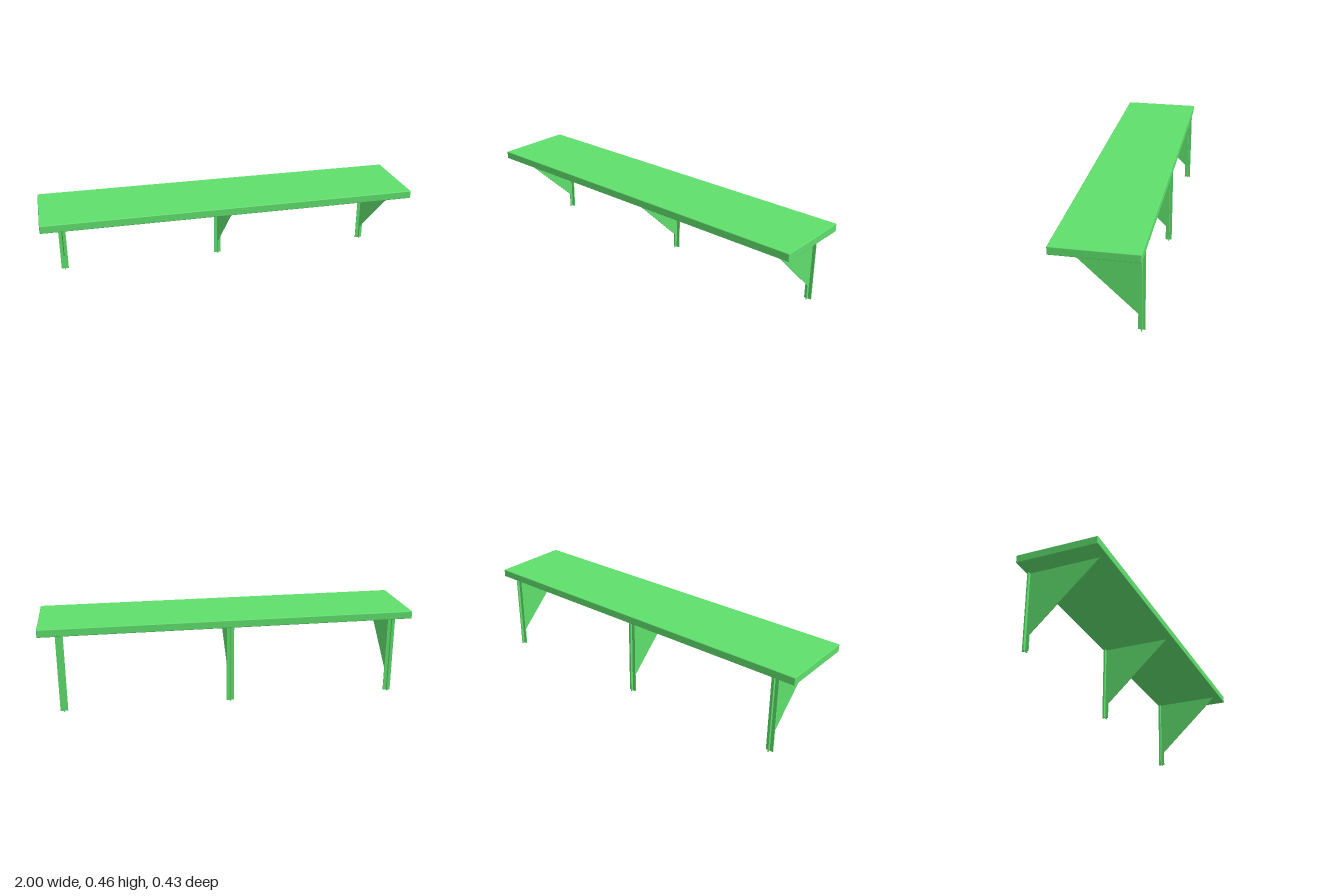
import * as THREE from 'three';
import { RoundedBoxGeometry } from 'three/addons/geometries/RoundedBoxGeometry.js';

const TOP = 0.461, UNDER = 0.419, DEPTH = 0.426, SHEET = 0.004;
const BACK = -0.213, POST_FRONT = -0.179, FLANGE_Z = -0.197;

export function createModel() {
  const group = new THREE.Group();
  group.name = 'bench';
  const green = new THREE.MeshStandardMaterial({ color: 0x5fdf6c });

  const add = (parent, name, geometry, x, y, z) => {
    const mesh = new THREE.Mesh(geometry, green);
    mesh.name = name;
    mesh.position.set(x, y, z);
    parent.add(mesh);
  };

  // Seat plank with softly eased edges
  add(group, 'seat', new RoundedBoxGeometry(2, TOP - UNDER, DEPTH, 2, 0.004), 0, (TOP + UNDER) / 2, 0);

  // Web and triangular gusset cut from one sheet, drawn as (z, y)
  const outline = new THREE.Shape([
    [BACK, 0], [POST_FRONT, 0], [POST_FRONT, 0.085], [0.173, UNDER], [BACK, UNDER],
  ].map(([z, y]) => new THREE.Vector2(z, y)));
  const web = new THREE.ExtrudeGeometry(outline, { depth: SHEET, bevelEnabled: false });
  web.translate(0, 0, -SHEET / 2);
  web.rotateY(-Math.PI / 2);

  // Cross flange that gives each post its plus-shaped section
  const flange = new THREE.BoxGeometry(0.04, UNDER, SHEET);

  [['rightBracket', -0.89], ['middleBracket', 0], ['leftBracket', 0.89]].forEach(([name, x]) => {
    const bracket = new THREE.Group();
    bracket.name = name;
    bracket.position.x = x;
    add(bracket, 'postWebAndGusset', web, 0, 0, 0);
    add(bracket, 'postFlange', flange, 0, UNDER / 2, FLANGE_Z);
    group.add(bracket);
  });

  return group;
}
